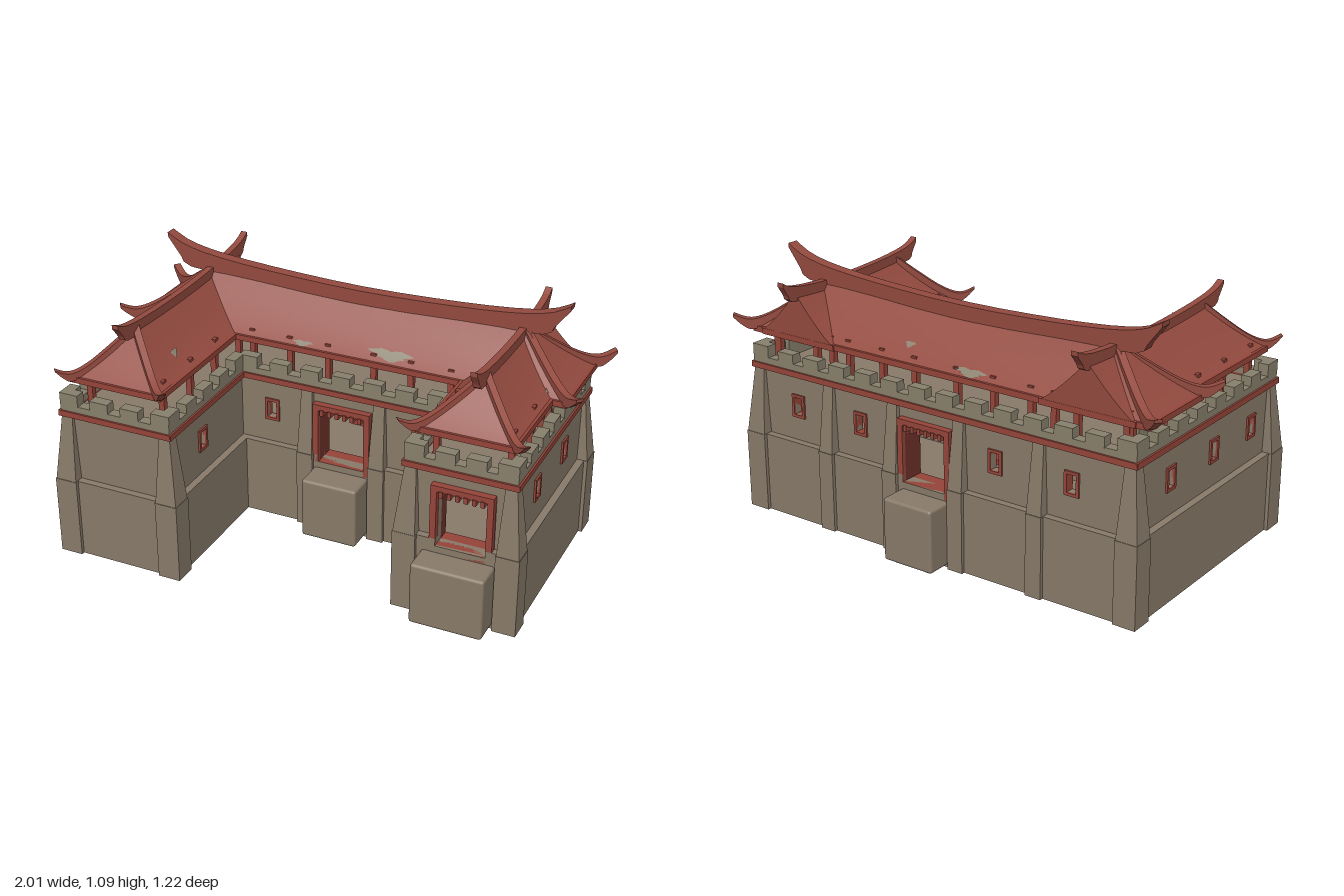
import * as THREE from 'three';
import { RoundedBoxGeometry } from 'three/addons/geometries/RoundedBoxGeometry.js';
import { ParametricGeometry } from 'three/addons/geometries/ParametricGeometry.js';

const mat = (name, color, side = THREE.FrontSide) => {
  const m = new THREE.MeshStandardMaterial({ color, side });
  m.name = name;
  return m;
};

export function createModel() {
  const stone = mat('stone', 0x887a69, THREE.DoubleSide);
  const parapetStone = mat('parapetStone', 0x88806c);
  const tile = mat('roofTile', 0x934a3f, THREE.DoubleSide);
  const trim = mat('redTrim', 0x964539);
  const darkTrim = mat('darkRedWood', 0x6e302a);
  const patchMat = mat('wornPatch', 0x8a8270, THREE.DoubleSide);
  const model = new THREE.Group();

  const add = (parent, name, geo, m) => {
    const mesh = new THREE.Mesh(geo, m);
    mesh.name = name;
    parent.add(mesh);
    return mesh;
  };
  const box = (parent, name, m, x0, x1, y0, y1, z0, z1) =>
    add(parent, name, new THREE.BoxGeometry(x1 - x0, y1 - y0, z1 - z0), m)
      .position.set((x0 + x1) / 2, (y0 + y1) / 2, (z0 + z1) / 2);
  // Box whose top rectangle differs from its bottom one: rectangles are [x0, x1, z0, z1]
  const taper = (parent, name, m, b, t, y0, y1) => {
    const g = new THREE.BoxGeometry(1, 1, 1), p = g.attributes.position;
    for (let i = 0; i < p.count; i++) {
      const up = p.getY(i) > 0, r = up ? t : b;
      p.setXYZ(i, r[p.getX(i) > 0 ? 1 : 0], up ? y1 : y0, r[p.getZ(i) > 0 ? 3 : 2]);
    }
    g.computeVertexNormals();
    add(parent, name, g, m);
  };

  // U-shaped plan, walked so that each wall's local +z points outwards
  const plan = [[-0.90, 0.565], [-0.44, 0.565], [-0.44, -0.03], [0.465, -0.03],
    [0.465, 0.355], [0.885, 0.355], [0.885, -0.465], [-0.90, -0.465]];
  const concave = [2, 3];
  const STEP = 0.335;

  // Wall slab made of boxes around its openings [s0, s1, y0, y1]
  const slab = (parent, s0, s1, y0, y1, z0, z1, openings) => {
    let s = s0;
    for (const [a, b, c, d] of openings) {
      if (c >= y1 || d <= y0) continue;
      box(parent, 'wall', stone, s, a, y0, y1, z0, z1);
      if (c > y0) box(parent, 'wallBelowOpening', stone, a, b, y0, c, z0, z1);
      if (d < y1) box(parent, 'wallAboveOpening', stone, a, b, d, y1, z0, z1);
      s = b;
    }
    box(parent, 'wall', stone, s, s1, y0, y1, z0, z1);
  };
  const frame = (parent, name, [a, b, c, d], w, z0, z1, jamb) => {
    box(parent, name, jamb, a - w, a, c, d, z0, z1);
    box(parent, name, jamb, b, b + w, c, d, z0, z1);
    box(parent, name, trim, a - w, b + w, d, d + w, z0, z1);
    box(parent, name, trim, a - w, b + w, c - w, c, z0, z1);
  };

  // Window, door and buttress places are coordinates along each wall's axis
  const details = [
    {}, { windows: [0.31] },
    { windows: [-0.30, 0.35], doors: [0.02], buttresses: [-0.137, 0.18] },
    {}, { doors: [0.69] }, { windows: [0.105, -0.215] },
    { windows: [0.675, 0.35, -0.30, -0.64], doors: [0.02], buttresses: [0.505, 0.18, -0.137, -0.5] },
    { windows: [-0.215, 0.105, 0.40] },
  ];
  plan.forEach(([x0, z0], i) => {
    const j = (i + 1) % plan.length, [x1, z1] = plan[j];
    const L = Math.hypot(x1 - x0, z1 - z0), dx = (x1 - x0) / L, dz = (z1 - z0) / L;
    const g = new THREE.Group();
    g.name = 'wallSide';
    g.position.set(x0, 0, z0);
    g.rotation.y = Math.atan2(-dz, dx);
    model.add(g);
    const along = (w) => (Math.abs(dx) > 0.5 ? (w - x0) * dx : (w - z0) * dz);
    const { windows = [], doors = [], buttresses = [] } = details[i];
    const win = windows.map((w) => [along(w) - 0.02, along(w) + 0.02, 0.447, 0.52]);
    const door = doors.map((w) => [along(w) - 0.1, along(w) + 0.1, 0.305, 0.54]);
    const open = [...win, ...door].sort((a, b) => a[0] - b[0]);
    const k0 = concave.includes(i) ? 0 : 1, k1 = concave.includes(j) ? 0 : 1;
    slab(g, -0.03 * k0, L + 0.03 * k1, 0, STEP, -0.03, 0.03, open);
    slab(g, 0, L, STEP, 0.637, -0.03, 0, open);
    box(g, 'redBand', trim, -0.02 * k0, L + 0.02 * k1, 0.613, 0.637, -0.03, 0.022);
    win.forEach((o) => frame(g, 'windowFrame', o, 0.012, -0.034, 0.008, trim));
    door.forEach((o) => {
      frame(g, 'doorFrame', o, 0.025, -0.08, 0.012, darkTrim);
      frame(g, 'doorSurround', o, 0.025, 0.012, 0.03, trim);
      for (let k = 0; k < 6; k++) {
        const s = o[0] + 0.01 + k * 0.033;
        box(g, 'lintelBracket', trim, s, s + 0.015, 0.52, 0.545, -0.03, 0.035);
      }
    });
    // Buttresses along the wall
    buttresses.map(along).forEach((s) => {
      box(g, 'buttressBase', stone, s - 0.035, s + 0.035, 0, STEP, 0, 0.045);
      taper(g, 'buttress', stone, [s - 0.033, s + 0.033, -0.01, 0.042], [s - 0.024, s + 0.024, -0.01, 0.014], STEP, 0.613);
    });
    // Battlements
    const a = -0.014 * k0, b = L + 0.014 * k1;
    box(g, 'parapet', parapetStone, a, b, 0.637, 0.664, -0.03, 0.014);
    const n = Math.max(2, Math.round((b - a - 0.08) / 0.137));
    for (let k = 0; k <= n; k++) {
      const s = a + (b - a - 0.08) * k / n, corner = k === 0 || k === n;
      box(g, 'merlon', parapetStone, s, s + 0.08, 0.66, corner ? 0.712 : 0.703, -0.03, 0.015);
    }
    // Corner buttress
    if (k0) {
      const B = [-0.045, 0.05, -0.05, 0.045], T = [-0.012, 0.035, -0.035, 0.012];
      box(g, 'cornerBase', stone, B[0], B[1], 0, STEP, B[2], B[3]);
      taper(g, 'cornerButtress', stone, B.map((v) => v * 0.95), T, STEP, 0.613);
    }
  });

  // Ground floor and roof deck
  const footprint = new THREE.Shape(plan.map(([x, z]) => new THREE.Vector2(x, -z)));
  for (const [name, y] of [['floor', 0.285], ['deck', 0.63]]) {
    add(model, name, new THREE.ShapeGeometry(footprint).rotateX(-Math.PI / 2), stone).position.y = y;
  }

  // Entrance blocks
  for (const [x0, x1, z0, z1] of [[-0.10, 0.14, -0.02, 0.12], [-0.10, 0.13, -0.61, -0.47], [0.535, 0.83, 0.35, 0.50]]) {
    add(model, 'entranceBlock', new RoundedBoxGeometry(x1 - x0, 0.262, z1 - z0, 2, 0.012), stone)
      .position.set((x0 + x1) / 2, 0.146, (z0 + z1) / 2);
  }

  // Ridge beam: a side profile through top and bottom points, extruded to its width
  const ridge = (name, from, to, w, top, bottom) => {
    const L = Math.hypot(to[0] - from[0], to[1] - from[1]);
    const line = (pts) => new THREE.SplineCurve(pts.map(([s, y]) => new THREE.Vector2(s * L, y))).getPoints(20);
    const shape = new THREE.Shape([...line(bottom), ...line(top).reverse()]);
    const geo = new THREE.ExtrudeGeometry(shape, { depth: w, bevelEnabled: false }).translate(0, 0, -w / 2);
    const m = add(model, name, geo, tile);
    m.position.set(from[0], 0, from[1]);
    m.rotation.y = Math.atan2(from[1] - to[1], to[0] - from[0]);
  };

  // Concave roof; a hip run of 0 leaves an upright gable at that end
  const EAVE = 0.765;
  const roof = ({ name, axis, a0, a1, c, hw, h0, h1, rise, sag, patches, posts }) => {
    const put = (a, y, v, target) => (axis === 'x' ? target.set(a, y, v) : target.set(v, y, a));
    const height = (u, t) => EAVE + rise * (0.72 * t + 0.28 * t * t) + sag * t * (2 * u - 1) ** 2;
    const slope = (side, lift = 0) => (u, t, target) =>
      put(THREE.MathUtils.lerp(a0 + h0 * t, a1 - h1 * t, u), height(u, t) + lift, c + side * hw * (1 - t), target);
    for (const side of [-1, 1]) {
      add(model, name + 'Slope', new ParametricGeometry(slope(side), 24, 8), tile);
      for (const [ps, u0, t0, ru, rt] of patches) {
        if (ps !== side) continue;
        const f = slope(side, 0.005);
        add(model, 'wornPatch', new ParametricGeometry((p, q, target) => {
          const th = p * Math.PI * 2, r = q * (1 + 0.25 * Math.sin(3 * th) + 0.15 * Math.sin(7 * th));
          f(u0 + ru * r * Math.cos(th), t0 + rt * r * Math.sin(th), target);
        }, 24, 2), patchMat);
      }
    }
    for (const u of [0, 1]) {
      add(model, name + 'End', new ParametricGeometry((v, t, target) =>
        put(u ? a1 - h1 * t : a0 + h0 * t, height(u, t), c + hw * (1 - t) * (2 * v - 1), target), 8, 8), tile);
    }
    // Eave boards and posts
    const bar = (n, A0, A1, y0, y1, v0, v1) => (axis === 'x'
      ? box(model, n, trim, A0, A1, y0, y1, v0, v1) : box(model, n, trim, v0, v1, y0, y1, A0, A1));
    for (const s of [-1, 1]) {
      const v = c + s * (hw - 0.008);
      bar('eaveBoard', a0, a1, EAVE - 0.016, EAVE + 0.008, v - 0.009, v + 0.009);
      const e = s < 0 ? a0 + 0.008 : a1 - 0.008;
      bar('eaveBoard', e - 0.009, e + 0.009, EAVE - 0.016, EAVE + 0.008, c - hw, c + hw);
      const pv = c + s * (hw - 0.04);
      for (const p of posts) bar('post', p - 0.012, p + 0.012, 0.63, EAVE + 0.03, pv - 0.012, pv + 0.012);
      bar('postBeam', posts[0], posts[posts.length - 1], 0.742, 0.757, pv - 0.008, pv + 0.008);
    }
  };
  const ZC = -0.2525;
  roof({ name: 'mainRoof', axis: 'x', a0: -0.94, a1: 0.93, c: ZC, hw: 0.19, h0: 0.26, h1: 0.245, rise: 0.195, sag: 0.025,
    patches: [[1, 0.61, 0.2, 0.045, 0.09], [1, 0.40, 0.1, 0.02, 0.05], [-1, 0.42, 0.13, 0.035, 0.07], [-1, 0.6, 0.35, 0.012, 0.05]],
    posts: [-0.83, -0.62, -0.42, -0.25, -0.08, 0.12, 0.28, 0.45, 0.62, 0.82] });
  const wings = [
    { x: -0.6825, hw: 0.2025, front: 0.545, tips: [-0.92, -0.44], horn: 0.51, posts: [-0.4, -0.16, 0.05, 0.25, 0.46] },
    { x: 0.685, hw: 0.187, front: 0.345, tips: [0.43, 0.93], horn: 0.30, posts: [-0.4, -0.16, 0.05, 0.26] },
  ];

  const hipTop = [[0, 0.975], [0.3, 0.897], [0.6, 0.828], [0.82, 0.802], [1, 0.823]];
  const hipBottom = [[0, 0.915], [0.3, 0.85], [0.6, 0.788], [0.8, 0.76], [0.9, 0.775], [1, 0.81]];
  const mirrored = (pts) => [...pts, ...pts.slice(0, -1).reverse().map(([s, y]) => [1 - s, y])];
  const horned = (y, lift) => [
    mirrored([[0, y + lift], [0.05, y + lift * 0.58], [0.14, y + lift * 0.3], [0.3, y + lift * 0.1], [0.5, y]]),
    mirrored([[0, y + lift - 0.018], [0.03, y + lift * 0.35 - 0.02], [0.06, y - 0.035], [0.2, y - 0.04], [0.5, y - 0.06]])];

  ridge('mainRidge', [-0.88, ZC], [0.87, ZC], 0.048, ...horned(0.988, 0.1));
  for (const [x, tip] of [[-0.6825, -1.0], [0.685, 0.99]]) {
    for (const z of [-0.49, -0.02]) ridge('hipRidge', [x, ZC], [tip, z], 0.03, hipTop, hipBottom);
    // Low screen wall beneath the hipped end
    const sx = x + Math.sign(x) * 0.15;
    box(model, 'screenWall', parapetStone, sx - 0.01, sx + 0.01, 0.63, EAVE, -0.35, -0.16);
  }
  for (const w of wings) {
    const join = w.front - 0.175;
    roof({ name: 'wingRoof', axis: 'z', a0: -0.45, a1: w.front, c: w.x, hw: w.hw, h0: 0, h1: 0.175, rise: 0.175, sag: 0.015,
      patches: w.x > 0 ? [[-1, 0.8, 0.12, 0.05, 0.07], [1, 0.45, 0.15, 0.03, 0.06]] : [[1, 0.8, 0.4, 0.02, 0.06]], posts: w.posts });
    ridge('wingRidge', [w.x, -0.53], [w.x, w.horn], 0.028, ...horned(0.962, 0.053));
    for (const tip of w.tips) ridge('hipRidge', [w.x, join], [tip, w.front + 0.045], 0.028, hipTop.map(([s, y]) => [s, y - 0.01]), hipBottom);
  }
  return model;
}
